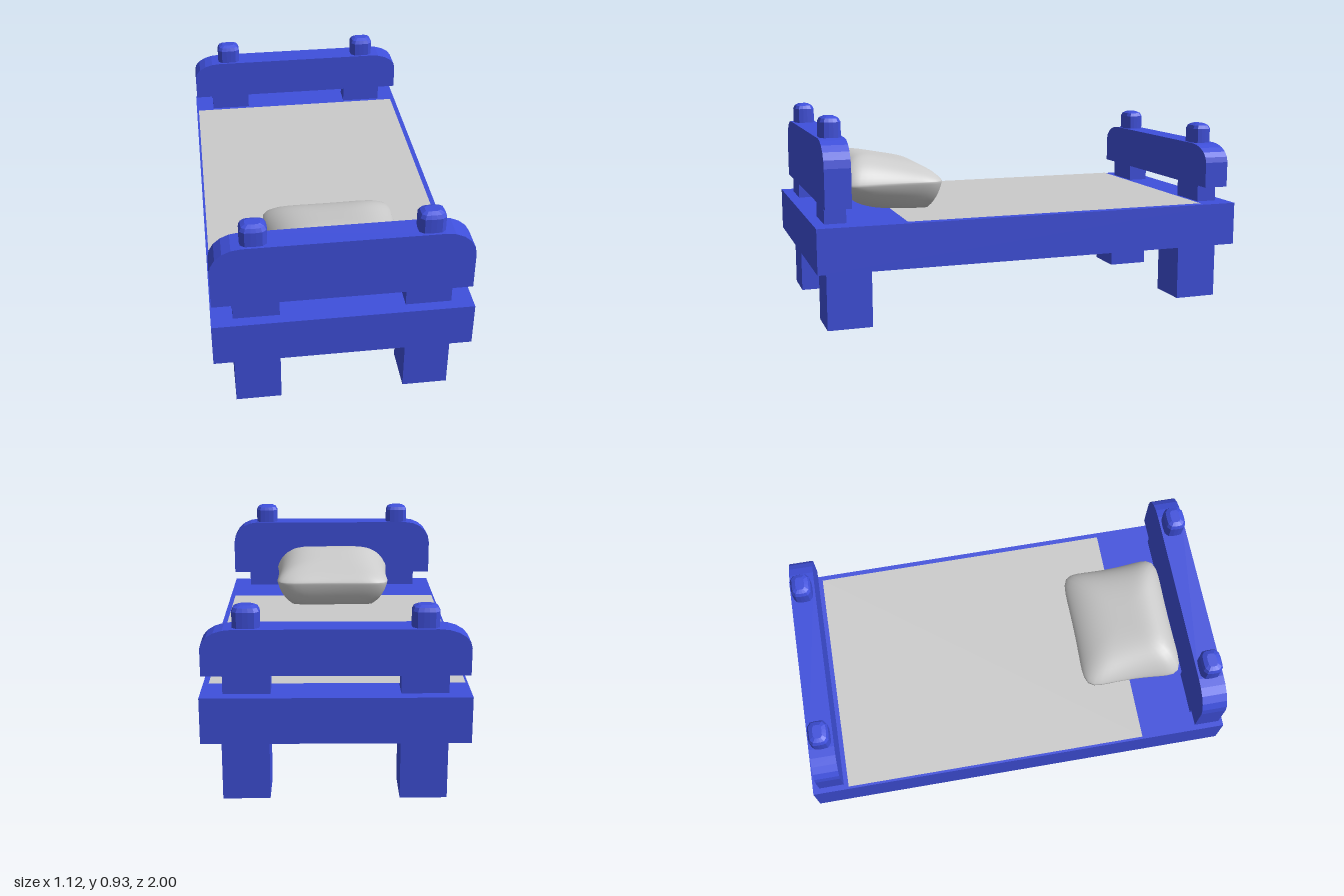
import * as THREE from 'three';
import { mergeVertices } from 'three/addons/utils/BufferGeometryUtils.js';

const blue = new THREE.MeshStandardMaterial({ color: 0x3f50dc, flatShading: true });
const grey = new THREE.MeshStandardMaterial({ color: 0xcccccc });
const sheetGrey = new THREE.MeshStandardMaterial({ color: 0xcccccc, side: THREE.DoubleSide });

function add(parent, name, geometry, material = blue) {
  const mesh = new THREE.Mesh(geometry, material);
  mesh.name = name;
  parent.add(mesh);
  return mesh;
}

// Box given by its minimum and maximum corners
function box(parent, name, [x0, y0, z0], [x1, y1, z1]) {
  const mesh = add(parent, name, new THREE.BoxGeometry(x1 - x0, y1 - y0, z1 - z0));
  mesh.position.set((x0 + x1) / 2, (y0 + y1) / 2, (z0 + z1) / 2);
}

// Board with elliptically rounded upper corners
function boardGeometry(halfWidth, height, rx, ry, depth) {
  const shape = new THREE.Shape();
  shape.moveTo(-halfWidth, 0);
  shape.lineTo(halfWidth, 0);
  for (let i = 0; i <= 5; i++) {
    const a = (i / 5) * Math.PI / 2;
    shape.lineTo(halfWidth - rx + rx * Math.cos(a), height - ry + ry * Math.sin(a));
  }
  for (let i = 0; i <= 5; i++) {
    const a = (1 + i / 5) * Math.PI / 2;
    shape.lineTo(-halfWidth + rx + rx * Math.cos(a), height - ry + ry * Math.sin(a));
  }
  const geometry = new THREE.ExtrudeGeometry(shape, { depth, bevelEnabled: false });
  return geometry.translate(0, 0, -depth / 2);
}

// Rounded-rectangle knob with a softened top, standing on y = 0
function knobGeometry(width, depth, height) {
  const sides = 16;
  const at = (inset, y) => {
    const ring = [];
    for (let i = 0; i < sides; i++) {
      const a = ((i + 0.5) / sides) * Math.PI * 2;
      const c = Math.cos(a), s = Math.sin(a);
      const r = 1 / Math.pow(c ** 4 + s ** 4, 0.25);
      ring.push(new THREE.Vector3(c * r * (width / 2 - inset), y, s * r * (depth / 2 - inset)));
    }
    return ring;
  };
  const rings = [at(0, 0), at(0, height - 0.025), at(0.008, height - 0.009), at(0.026, height)];
  const points = [];
  for (let k = 0; k < rings.length - 1; k++) {
    for (let i = 0; i < sides; i++) {
      const j = (i + 1) % sides;
      const [a, b, c, d] = [rings[k][i], rings[k][j], rings[k + 1][j], rings[k + 1][i]];
      points.push(a, c, b, a, d, c);
    }
  }
  const top = rings[rings.length - 1];
  for (let i = 1; i < sides - 1; i++) points.push(top[0], top[i + 1], top[i]);
  const geometry = new THREE.BufferGeometry().setFromPoints(points);
  geometry.computeVertexNormals();
  return geometry;
}

// Posts, board and knobs of one bed end
function bedEnd(name, z, boardBottom, boardTop, cornerY) {
  const group = new THREE.Group();
  group.name = name;
  for (const side of [-1, 1]) {
    const x = side * 0.368;
    box(group, 'post', [x - 0.099, 0.47, z - 0.048], [x + 0.099, boardBottom + 0.01, z + 0.048]);
    add(group, 'knob', knobGeometry(0.115, 0.094, 0.092)).position.set(side * 0.367, boardTop, z);
  }
  add(group, 'board', boardGeometry(0.554, boardTop - boardBottom, 0.135, cornerY, 0.115))
    .position.set(0, boardBottom, z);
  return group;
}

// Cushion: sphere reshaped to a squarish plan, tilted top and flat underside
function pillowGeometry() {
  let geometry = new THREE.SphereGeometry(1, 64, 32);
  geometry.deleteAttribute('uv');
  geometry.deleteAttribute('normal');
  geometry = mergeVertices(geometry, 1e-4);
  const p = geometry.attributes.position;
  for (let i = 0; i < p.count; i++) {
    const r = Math.min(1, Math.hypot(p.getX(i), p.getZ(i)));
    const a = Math.atan2(p.getZ(i), p.getX(i));
    const c = Math.cos(a), s = Math.sin(a);
    const k = r / Math.pow(Math.abs(c) ** 7 + Math.abs(s) ** 7, 1 / 7);
    const u = c * k, t = s * k;
    const h = Math.pow(1 - r ** 4, 0.75);
    const y = p.getY(i) >= 0
      ? 0.6 + h * (0.106 + 0.046 * t)
      : Math.max(0.47, 0.6 - h * (0.145 - 0.05 * t));
    p.setXYZ(i, u * (0.293 + 0.02 * t * t + 0.007 * t), y, 0.597 + t * (0.234 + 0.01 * u * u));
  }
  geometry.computeVertexNormals();
  return geometry;
}

export function createModel() {
  const bed = new THREE.Group();
  bed.name = 'bed';

  box(bed, 'frame', [-0.56, 0.27, -1], [0.56, 0.47, 1]);
  for (const x of [-0.37, 0.377]) {
    for (const z of [-0.85, 0.85]) {
      box(bed, 'leg', [x - 0.1, 0, z - 0.1], [x + 0.1, 0.27, z + 0.1]);
    }
  }

  bed.add(bedEnd('headboard', 0.903, 0.547, 0.835, 0.115));
  bed.add(bedEnd('footboard', -0.9, 0.55, 0.748, 0.08));

  // Flat sheet lying on the frame
  const sheet = add(bed, 'sheet', new THREE.PlaneGeometry(1.085, 1.43).rotateX(-Math.PI / 2), sheetGrey);
  sheet.position.set(-0.007, 0.473, -0.115);

  add(bed, 'pillow', pillowGeometry(), grey);
  return bed;
}
